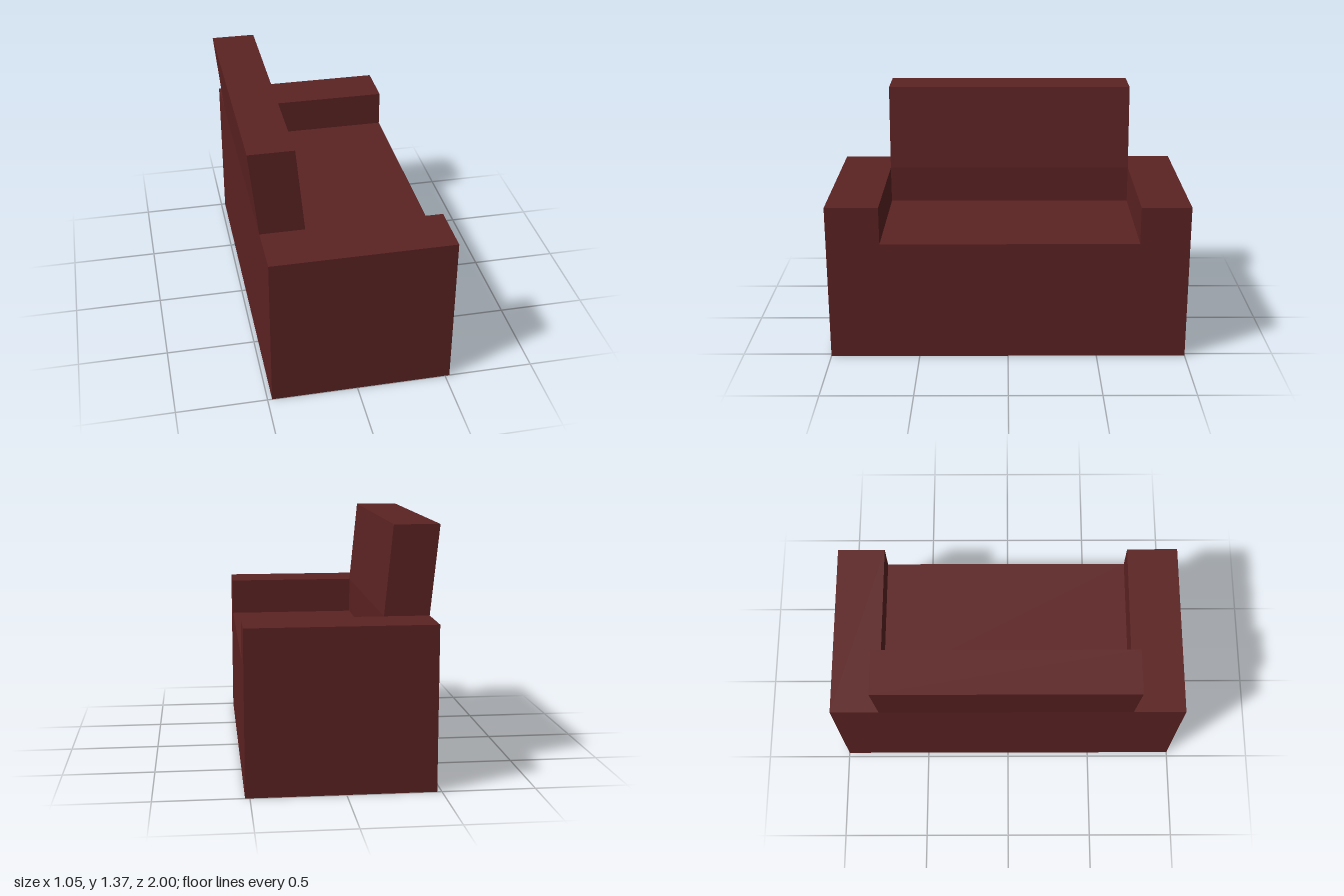
import * as THREE from 'three';

const BACK_X = -0.475, FRONT_X = 0.525;   // depth of the sofa, seat opens to +x
const ARM_Y = 0.885, SEAT_Y = 0.675, TOP_Y = 1.37;
const Z0 = -0.725, Z1 = 0.705;            // inner faces of the arms

export function createModel() {
  const group = new THREE.Group();
  const upholstery = new THREE.MeshStandardMaterial({ color: 0x5c2222 });
  upholstery.name = 'dark red upholstery';

  // Extrudes an x/y side profile between two z positions
  const addPart = (name, points, zStart, zEnd) => {
    const shape = new THREE.Shape(points.map(([x, y]) => new THREE.Vector2(x, y)));
    const geometry = new THREE.ExtrudeGeometry(shape, { depth: zEnd - zStart, bevelEnabled: false });
    geometry.translate(0, 0, zStart);
    const mesh = new THREE.Mesh(geometry, upholstery);
    mesh.name = name;
    group.add(mesh);
  };
  const rect = (x0, x1, y1) => [[x0, 0], [x1, 0], [x1, y1], [x0, y1]];

  // Arms at both ends
  addPart('frontArm', rect(BACK_X, FRONT_X, ARM_Y), Z1, 1);
  addPart('rearArm', rect(BACK_X, FRONT_X, ARM_Y), -1, Z0);

  // Seat block between the arms
  addPart('seat', rect(-0.23, FRONT_X, SEAT_Y), Z0, Z1);

  // Backrest: upright up to arm height, then leaning back
  addPart('backrest', [
    [BACK_X, 0], [-0.23, 0], [-0.23, ARM_Y],
    [-0.278, TOP_Y], [-0.525, TOP_Y], [BACK_X, ARM_Y],
  ], Z0, Z1);

  return group;
}
